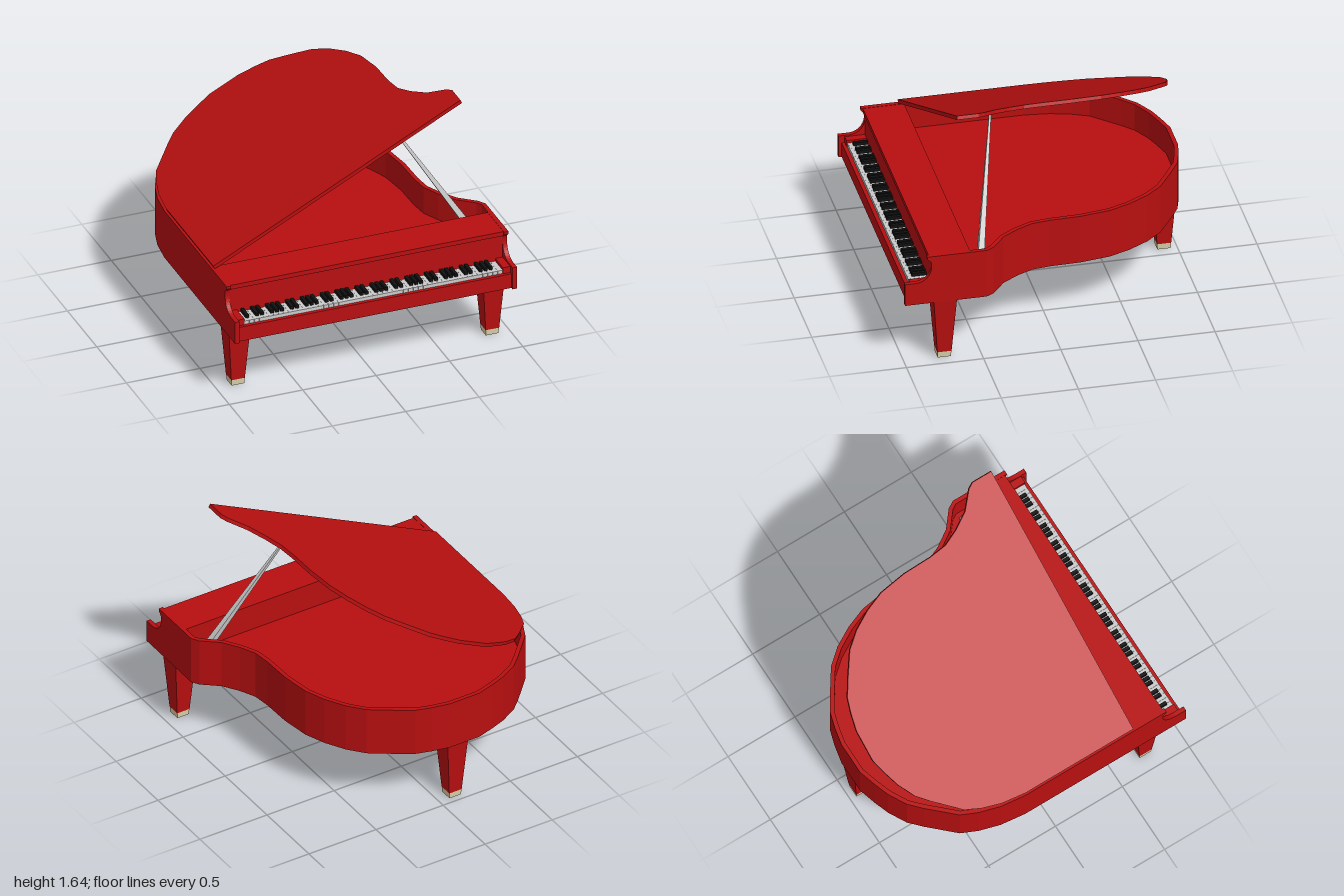
import * as THREE from 'three';

const paint = (color) => new THREE.MeshStandardMaterial({ color, flatShading: true });
const red = paint(0xb80f10), black = paint(0x111111), brass = paint(0xd8cfa8), grey = paint(0xcccccc);

// Plan of the bent side as [x, z], from the left cheek round the tail to the right cheek
const BEND = [
  [-0.96, -0.2], [-0.94, -0.37], [-0.9, -0.51], [-0.85, -0.62], [-0.69, -0.79], [-0.61, -0.865],
  [-0.49, -0.93], [-0.39, -0.965], [-0.27, -1], [-0.05, -1], [0.07, -0.975], [0.17, -0.945],
  [0.29, -0.87], [0.43, -0.775], [0.52, -0.67], [0.595, -0.54], [0.65, -0.4], [0.68, -0.2],
  [0.685, 0], [0.7, 0.12], [0.75, 0.225], [0.82, 0.33], [0.93, 0.42], [0.96, 0.47],
];

// Open outline ending at zFront, moved inward by d
function outline(zFront, d = 0) {
  const pts = [[-0.96, zFront], ...BEND, [0.96, zFront]];
  return pts.map(([x, z], i) => {
    const a = pts[Math.max(i - 1, 0)], b = pts[Math.min(i + 1, pts.length - 1)];
    const dx = b[0] - a[0], dz = b[1] - a[1], len = Math.hypot(dx, dz);
    return [x - (dz / len) * d, z + (dx / len) * d];
  });
}

// Upright slab from a plan polygon
function slab(plan, y, height) {
  const shape = new THREE.Shape(plan.map(([x, z]) => new THREE.Vector2(x, -z)));
  return new THREE.ExtrudeGeometry(shape, { depth: height, bevelEnabled: false })
    .rotateX(-Math.PI / 2).translate(0, y, 0);
}

// Box given by its limits on each axis
function box(x0, x1, y0, y1, z0, z1) {
  return new THREE.BoxGeometry(x1 - x0, y1 - y0, z1 - z0)
    .translate((x0 + x1) / 2, (y0 + y1) / 2, (z0 + z1) / 2);
}

// Square tapered post
function post(top, bottom, height) {
  return new THREE.CylinderGeometry(top * Math.SQRT1_2, bottom * Math.SQRT1_2, height, 4)
    .rotateY(Math.PI / 4);
}

export function createModel() {
  const model = new THREE.Group();
  const add = (name, geometry, material = red, parent = model) => {
    const mesh = new THREE.Mesh(geometry, material);
    mesh.name = name;
    parent.add(mesh);
    return mesh;
  };

  // Case: curved rim wall, soundboard inside, front block
  add('rim', slab([...outline(0.575), ...outline(0.575, 0.028).reverse()], 0.43, 0.338));
  add('soundboard', slab(outline(0.6, 0.02), 0.442, 0.138));
  add('fallboard', box(-0.93, 0.93, 0.442, 0.735, 0.575, 0.83));
  add('frontLid', box(-0.93, 0.93, 0.735, 0.766, 0.575, 0.842));

  // Cheeks with scooped fronts; the profile runs in z and y
  const cheek = new THREE.Shape();
  cheek.moveTo(0.575, 0.43);
  cheek.lineTo(1, 0.43);
  cheek.lineTo(1, 0.585);
  cheek.lineTo(0.925, 0.585);
  cheek.bezierCurveTo(0.86, 0.59, 0.815, 0.65, 0.832, 0.728);
  cheek.lineTo(0.855, 0.75);
  cheek.lineTo(0.855, 0.768);
  cheek.lineTo(0.575, 0.768);
  const cheekGeometry = new THREE.ExtrudeGeometry(cheek, { depth: 0.03, bevelEnabled: false, curveSegments: 10 })
    .rotateY(-Math.PI / 2);
  add('leftCheek', cheekGeometry.clone().translate(0.96, 0, 0));
  add('rightCheek', cheekGeometry.clone().translate(-0.93, 0, 0));

  // Keybed and key blocks
  add('keybed', box(-0.93, 0.93, 0.43, 0.532, 0.8, 0.98));
  for (const [name, x] of [['rightKeyBlock', -0.93], ['leftKeyBlock', 0.88]]) {
    add(name, box(x, x + 0.05, 0.53, 0.575, 0.825, 0.96));
  }

  // Keyboard: 52 white keys, black keys in twos and threes
  const keyboard = new THREE.Group();
  keyboard.name = 'keyboard';
  model.add(keyboard);
  const w = 1.76 / 52;
  for (let i = 0; i < 52; i++) {
    const x = -0.88 + i * w;
    add('whiteKey', box(x + 0.0005, x + w - 0.0005, 0.53, 0.556, 0.825, 0.955), grey, keyboard);
    if ([0, 2, 3, 5, 6].includes(i % 7) && i < 51) {
      add('blackKey', box(x + w - 0.011, x + w + 0.011, 0.55, 0.578, 0.825, 0.925), black, keyboard);
    }
  }

  // Raised lid hinged on the right-hand side of the case
  const lid = new THREE.Group();
  lid.name = 'lid';
  lid.position.set(-0.942, 0.768, 0);
  lid.rotation.z = 0.468;
  const lidPlan = outline(0.612, 0.017).map(([x, z]) => [x + 0.943, z < 0 ? z * 0.97 : z]);
  add('lidPanel', slab(lidPlan, 0, 0.025), red, lid);
  model.add(lid);

  // Tapered prop stick
  const foot = new THREE.Vector3(0.88, 0.575, 0.5), tip = new THREE.Vector3(0.35, 1.415, 0.31);
  const along = tip.clone().sub(foot);
  const prop = add('lidProp', post(0.012, 0.044, along.length()), grey);
  prop.position.copy(foot).add(tip).multiplyScalar(0.5);
  prop.quaternion.setFromUnitVectors(new THREE.Vector3(0, 1, 0), along.normalize());

  // Legs with pale feet
  for (const [name, x, z] of [['frontRightLeg', -0.853, 0.737], ['frontLeftLeg', 0.879, 0.737], ['rearLeg', -0.117, -0.914]]) {
    const leg = new THREE.Group();
    leg.name = name;
    leg.position.set(x, 0, z);
    add('legPost', post(0.152, 0.092, 0.405).translate(0, 0.2425, 0), red, leg);
    add('legFoot', post(0.09, 0.086, 0.04).translate(0, 0.02, 0), brass, leg);
    model.add(leg);
  }
  return model;
}
